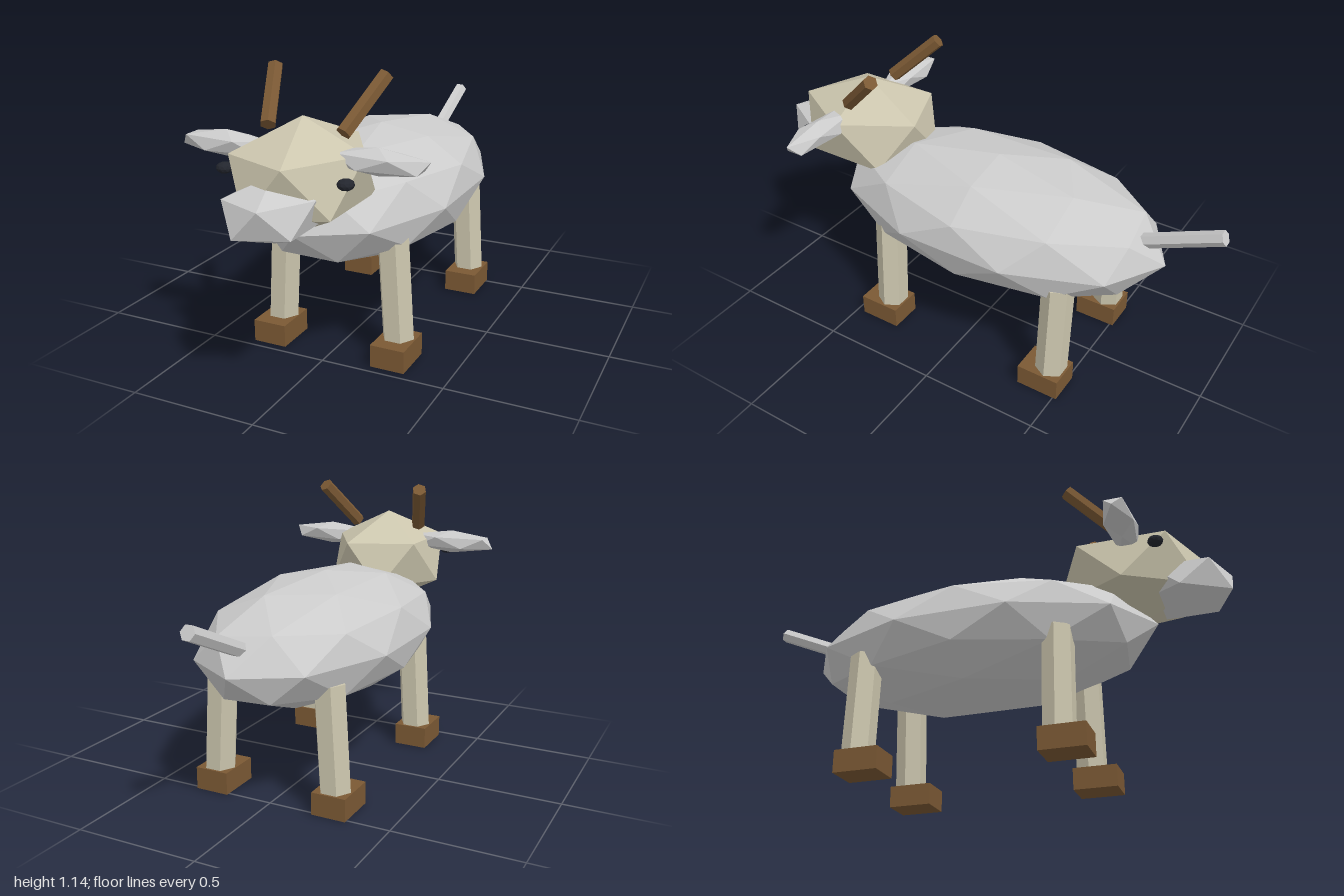
import * as THREE from 'three';

const material = (color) => new THREE.MeshStandardMaterial({ color, flatShading: true });

export function createModel() {
  const model = new THREE.Group();
  const fur = material(0xcccccc);
  const cream = material(0xccc6ae);
  const brown = material(0x7b5934);
  const black = material(0x23262e);

  function add(name, geometry, mat) {
    const mesh = new THREE.Mesh(geometry, mat);
    mesh.name = name;
    model.add(mesh);
    return mesh;
  }

  // Faceted ball with a corner straight up, stretched to the given radii
  function ball(name, mat, detail, radii, position) {
    const geometry = new THREE.IcosahedronGeometry(1, detail);
    geometry.rotateX(-Math.atan((1 + Math.sqrt(5)) / 2));
    geometry.rotateY(Math.PI / 2);
    geometry.scale(...radii);
    geometry.translate(...position);
    return add(name, geometry, mat);
  }

  // Six-sided rod between two points
  function rod(name, mat, radius, from, to) {
    const a = new THREE.Vector3(...from);
    const b = new THREE.Vector3(...to);
    const axis = b.clone().sub(a);
    const geometry = new THREE.CylinderGeometry(radius, radius, axis.length(), 6);
    geometry.rotateY(Math.PI / 2);
    const mesh = add(name, geometry, mat);
    mesh.position.copy(a).add(b).multiplyScalar(0.5);
    mesh.quaternion.setFromUnitVectors(new THREE.Vector3(0, 1, 0), axis.normalize());
    return mesh;
  }

  // Body, head and tail
  ball('body', fur, 1, [0.396, 0.25, 0.74], [0, 0.58, -0.04]);
  ball('head', cream, 0, [0.27, 0.21, 0.335], [0, 0.785, 0.605]);
  ball('muzzle', fur, 0, [0.18, 0.12, 0.22], [0, 0.715, 0.813]);
  rod('tail', fur, 0.03, [0, 0.655, -0.67], [0, 0.795, -0.985]);

  for (const [side, s] of [['left', 1], ['right', -1]]) {
    // Face
    ball(side + 'Ear', fur, 0, [0.212, 0.05, 0.068], [s * 0.3, 0.87, 0.63]);
    ball(side + 'Eye', black, 1, [0.031, 0.021, 0.031], [s * 0.236, 0.815, 0.745]);
    rod(side + 'Horn', brown, 0.03, [s * 0.15, 0.943, 0.592], [s * 0.225, 1.12, 0.405]);

    // Legs lean inwards, each on a block hoof set slightly forward
    for (const [end, z] of [['Front', 0.35], ['Rear', -0.45]]) {
      rod(side + end + 'Leg', cream, 0.065, [s * 0.258, 0.04, z], [s * 0.23, 0.505, z]);
      add(side + end + 'Hoof', new THREE.BoxGeometry(0.14, 0.09, 0.18), brown)
        .position.set(s * 0.257, 0.045, z + 0.025);
    }
  }
  return model;
}
